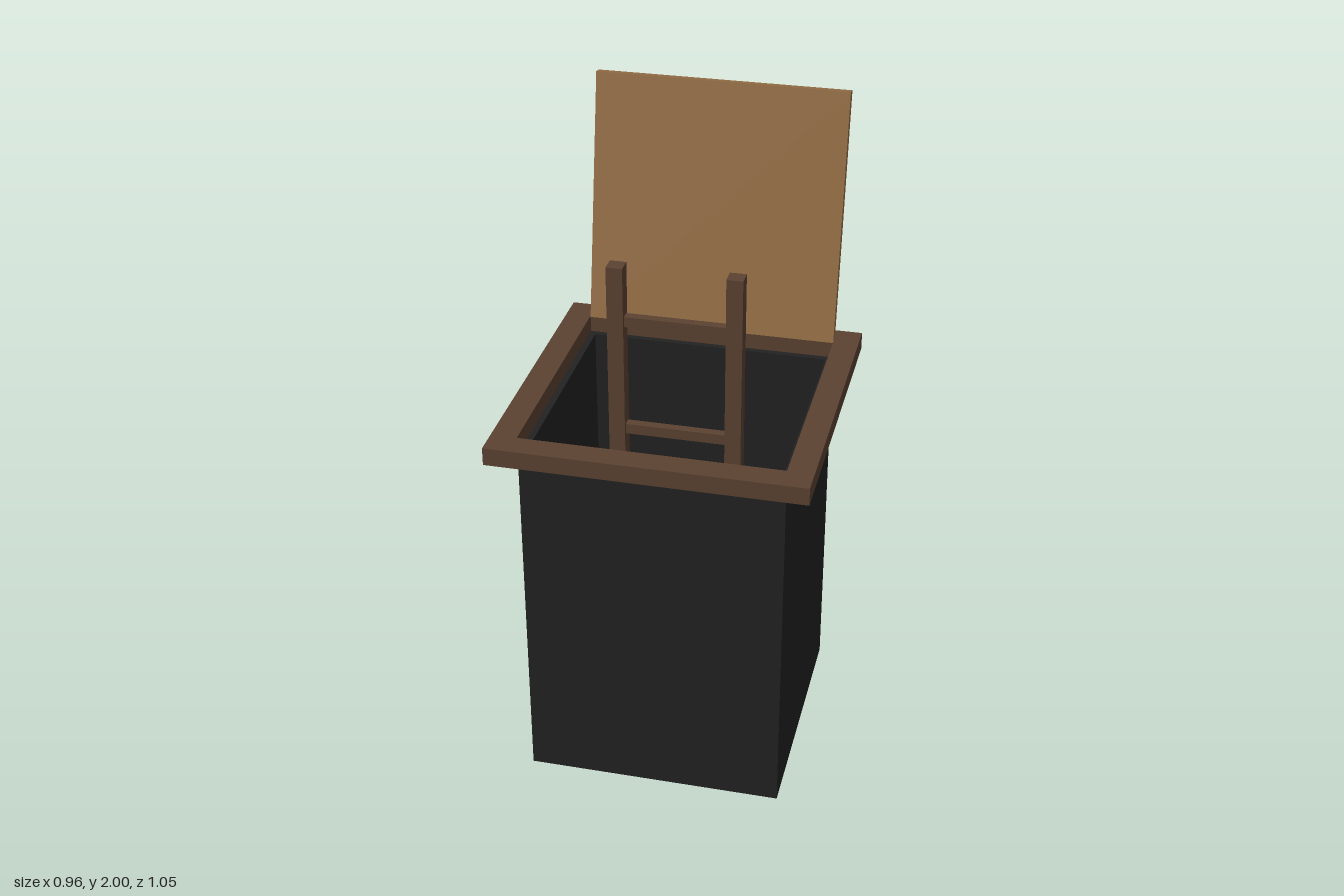
import * as THREE from 'three';

export function createModel() {
  const model = new THREE.Group();
  model.name = 'ladderShaft';

  const mat = (name, color) => {
    const m = new THREE.MeshStandardMaterial({ color });
    m.name = name;
    return m;
  };
  const charcoal = mat('charcoal', 0x222222);
  const darkWood = mat('darkWood', 0x5c4333);
  const lightWood = mat('lightWood', 0x966f46);

  const add = (name, geometry, material, x, y, z) => {
    const mesh = new THREE.Mesh(geometry, material);
    mesh.name = name;
    mesh.position.set(x, y, z);
    model.add(mesh);
    return mesh;
  };
  const box = (name, w, h, d, material, x, y, z) =>
    add(name, new THREE.BoxGeometry(w, h, d), material, x, y, z);

  // Square tube standing upright, from a shape with a square hole
  const squareTube = (outer, inner, height) => {
    const square = (Type, r) =>
      new Type([[-r, -r], [r, -r], [r, r], [-r, r]].map(([x, y]) => new THREE.Vector2(x, y)));
    const shape = square(THREE.Shape, outer);
    shape.holes.push(square(THREE.Path, inner));
    return new THREE.ExtrudeGeometry(shape, { depth: height, bevelEnabled: false }).rotateX(-Math.PI / 2);
  };

  // Open shaft with a floor and a wooden rim
  const shaftZ = 0.045;
  add('shaftWalls', squareTube(0.4, 0.38, 1.16), charcoal, 0, 0, shaftZ);
  box('shaftFloor', 0.76, 0.02, 0.76, charcoal, 0, 0.01, shaftZ);
  add('rim', squareTube(0.48, 0.4, 0.056), darkWood, 0, 1.16, shaftZ);

  // Hatch lid, standing open and leaning back
  const lid = box('hatchLid', 0.8, 0.8, 0.032, lightWood, 0, 1.603, -0.439);
  lid.rotation.x = THREE.MathUtils.degToRad(-10);

  // Ladder reaching down to the floor
  const ladderZ = 0.12, bottom = 0.005, top = 1.645;
  for (const [name, side] of [['leftRail', 1], ['rightRail', -1]]) {
    box(name, 0.05, top - bottom, 0.05, darkWood, side * 0.18, (top + bottom) / 2, ladderZ);
  }
  for (let i = 0; i < 4; i++) {
    box('rung' + (i + 1), 0.31, 0.033, 0.028, darkWood, 0, 1.467 - i * 0.365, ladderZ);
  }

  return model;
}
